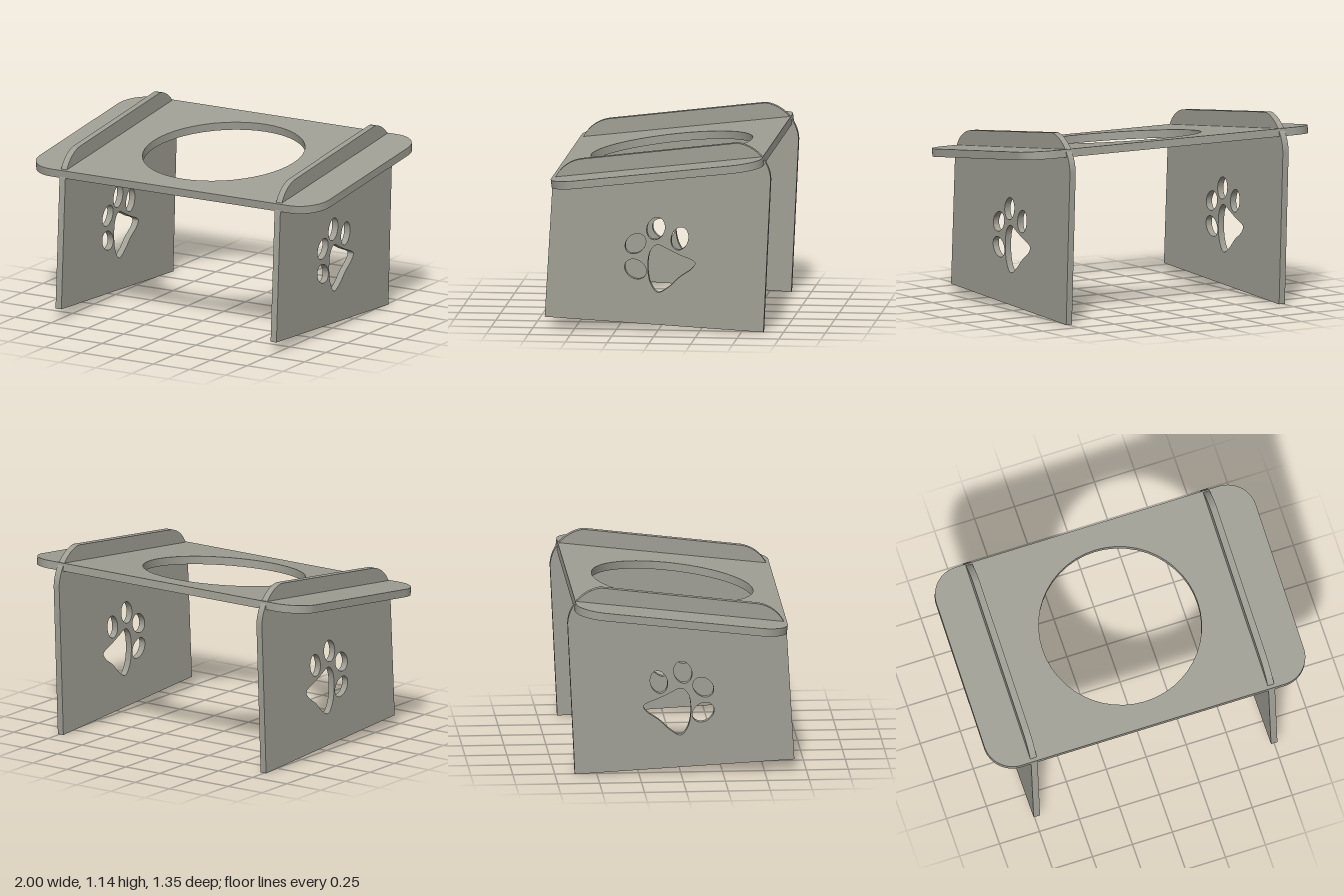
import * as THREE from 'three';
import { toCreasedNormals } from 'three/addons/utils/BufferGeometryUtils.js';

const board = new THREE.MeshStandardMaterial({ color: 0xa09f95 });
board.name = 'warm grey board';

// Extrudes a shape to a sheet centred on its own plane
function sheet(name, shape, thickness) {
  const geo = new THREE.ExtrudeGeometry(shape, { depth: thickness, bevelEnabled: false, curveSegments: 24 });
  geo.translate(0, 0, -thickness / 2);
  const mesh = new THREE.Mesh(toCreasedNormals(geo, 0.6), board);
  mesh.name = name;
  return mesh;
}

// Side panel outline in (z, y), with the paw cut-out
function panelShape() {
  const s = new THREE.Shape();
  s.moveTo(0.678, 0.07);
  s.lineTo(0.632, 0.86);
  s.bezierCurveTo(0.615, 0.95, 0.54, 1.015, 0.453, 1.025);
  s.lineTo(-0.475, 1.137);
  s.bezierCurveTo(-0.58, 1.125, -0.67, 1.03, -0.674, 0.92);
  s.lineTo(-0.631, 0);
  s.closePath();

  // Toes: centre z, centre y, long radius, short radius, tilt in degrees
  const toes = [
    [0.013, 0.613, 0.069, 0.053, 108],
    [0.135, 0.52, 0.068, 0.054, 138],
    [0.135, 0.367, 0.069, 0.055, 35],
    [-0.13, 0.555, 0.07, 0.0505, 105],
  ];
  for (const [z, y, a, b, tilt] of toes) {
    const toe = new THREE.Path();
    toe.absellipse(z, y, a, b, 0, Math.PI * 2, false, THREE.MathUtils.degToRad(tilt));
    s.holes.push(toe);
  }

  // Main pad
  const pad = new THREE.CatmullRomCurve3([
    [0.005, 0.515], [-0.067, 0.486], [-0.128, 0.457], [-0.2, 0.428], [-0.222, 0.41], [-0.2, 0.374],
    [-0.128, 0.323], [-0.063, 0.262], [0.002, 0.229], [0.045, 0.284], [0.061, 0.385], [0.045, 0.479],
  ].map(([z, y]) => new THREE.Vector3(z, y, 0)), true);
  s.holes.push(new THREE.Path(pad.getPoints(72).map((p) => new THREE.Vector2(p.x, p.y))));
  return s;
}

// Rounded rectangle with a round bowl opening
function topShape(w, d, r, hole) {
  const s = new THREE.Shape();
  const x = w / 2 - r, y = d / 2 - r;
  s.absarc(x, y, r, 0, Math.PI / 2);
  s.absarc(-x, y, r, Math.PI / 2, Math.PI);
  s.absarc(-x, -y, r, Math.PI, Math.PI * 1.5);
  s.absarc(x, -y, r, Math.PI * 1.5, Math.PI * 2);
  s.closePath();
  const opening = new THREE.Path();
  opening.absarc(0, 0, hole, 0, Math.PI * 2, true);
  s.holes.push(opening);
  return s;
}

export function createModel() {
  const group = new THREE.Group();
  group.name = 'bowlStand';

  // Sloping top plate, lower at the front
  const top = sheet('topPlate', topShape(2, 1.271, 0.175, 0.485), 0.048);
  top.rotation.x = -Math.PI / 2 + Math.atan2(0.147, 1.265);
  top.position.y = 0.961;
  group.add(top);

  // Two upright side panels
  for (const side of [1, -1]) {
    const panel = sheet(side > 0 ? 'leftPanel' : 'rightPanel', panelShape(), 0.04);
    panel.rotation.y = -Math.PI / 2;
    panel.position.x = side * 0.743;
    group.add(panel);
  }
  return group;
}
